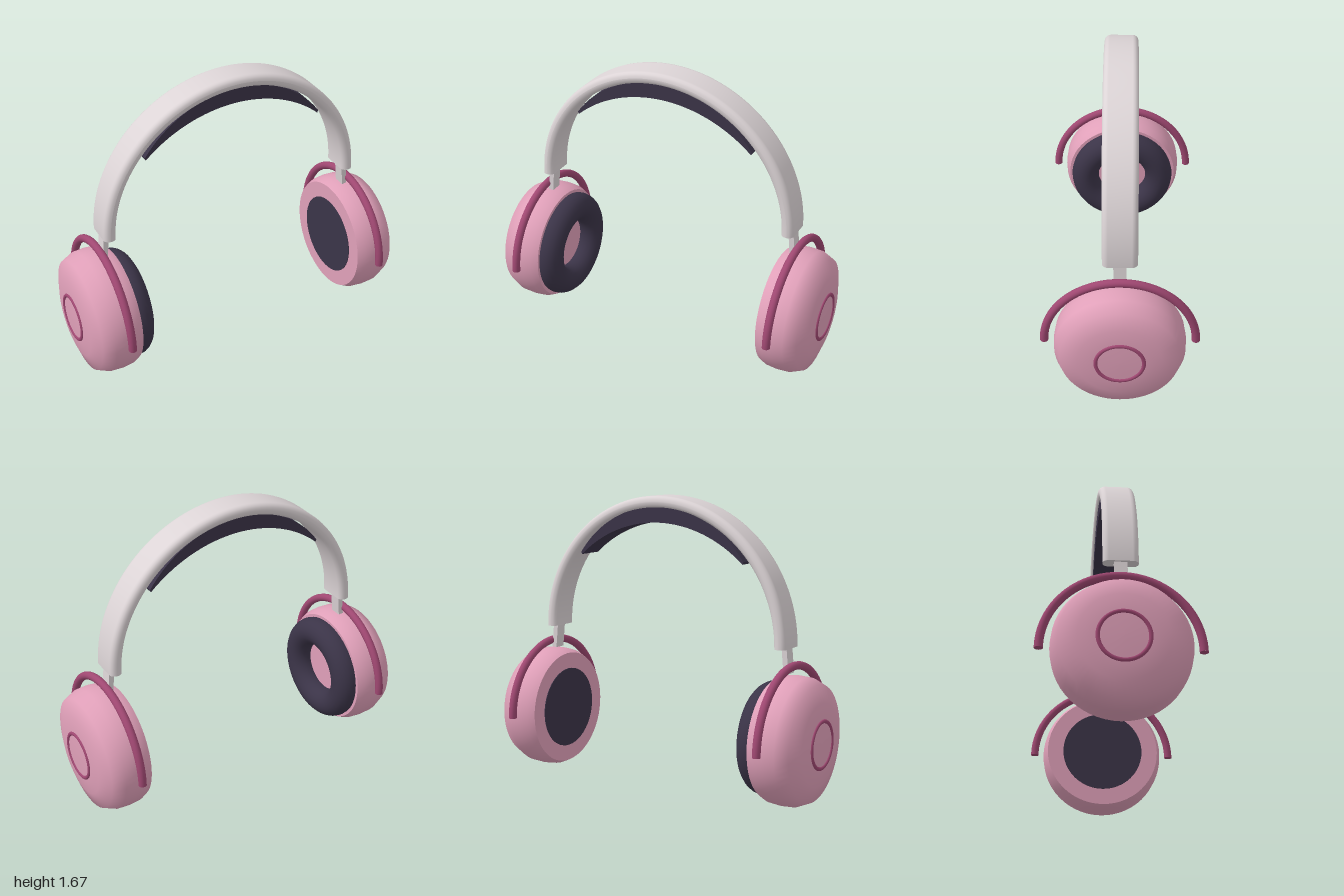
import * as THREE from 'three';

const paint = (name, color) => {
  const m = new THREE.MeshStandardMaterial({ color });
  m.name = name;
  return m;
};

export function createModel() {
  const model = new THREE.Group();
  model.name = 'headphones';
  const pink = paint('pink', 0xe0a0b9);
  const berry = paint('berry', 0xa04872);
  const dark = paint('darkPlum', 0x3b3448);
  const silver = paint('paleSilver', 0xdcd4d6);

  const add = (parent, name, geometry, material, x = 0, y = 0, z = 0) => {
    const mesh = new THREE.Mesh(geometry, material);
    mesh.name = name;
    mesh.position.set(x, y, z);
    parent.add(mesh);
    return mesh;
  };

  // Headband: rounded strip section swept through half a turn
  const bandY = 0.875, bandR = 0.765, halfT = 0.035, halfW = 0.095, corner = 0.032;
  const section = [];
  for (const [sx, sy, start] of [[1, -1, -90], [1, 1, 0], [-1, 1, 90], [-1, -1, 180]]) {
    for (let i = 0; i <= 4; i++) {
      const a = THREE.MathUtils.degToRad(start + i * 22.5);
      section.push(new THREE.Vector2(
        bandR + sx * (halfT - corner) + corner * Math.cos(a),
        sy * (halfW - corner) + corner * Math.sin(a)));
    }
  }
  const band = new THREE.LatheGeometry([...section, section[0].clone()], 64, Math.PI / 2, Math.PI);
  band.rotateX(-Math.PI / 2);
  // keep the arch above the ends
  band.computeBoundingBox();
  if (band.boundingBox.max.y < 0.5) band.rotateZ(Math.PI);
  add(model, 'headband', band, silver, 0, bandY);
  for (const s of [1, -1]) {
    const cap = new THREE.ShapeGeometry(new THREE.Shape(section));
    cap.rotateX(Math.PI / 2);
    if (s < 0) cap.rotateY(Math.PI);
    add(model, 'headbandEnd', cap, silver, 0, bandY);
  }

  // Crescent pad under the top of the headband
  const arc = (cy, r, halfX, n = 32) => {
    const a = Math.asin(halfX / r);
    return Array.from({ length: n + 1 }, (_, i) => {
      const t = -a + (2 * a * i) / n;
      return new THREE.Vector2(r * Math.sin(t), cy + r * Math.cos(t));
    });
  };
  const crescent = new THREE.Shape([...arc(0.955, 0.66, 0.54), ...arc(0.725, 0.8, 0.535).reverse()]);
  const pad = new THREE.ExtrudeGeometry(crescent, { depth: 0.16, bevelEnabled: false });
  add(model, 'headbandPad', pad, dark, 0, 0, -0.08);

  // Ear cup outline: radius, distance from the centre of the head
  const cupProfile = [
    [0.335, 0.71], [0.354, 0.75], [0.36, 0.81], [0.356, 0.88], [0.325, 0.95],
    [0.23, 0.982], [0.13, 0.992], [0, 0.993],
  ].map(([r, d]) => new THREE.Vector2(r, d));
  const cupY = 0.363, yokeR = 0.414, yokeT = 0.023;

  for (const side of [1, -1]) {
    const ear = new THREE.Group();
    ear.name = side > 0 ? 'leftEar' : 'rightEar';
    if (side < 0) ear.rotation.y = Math.PI;
    model.add(ear);

    add(ear, 'earCup', new THREE.LatheGeometry(cupProfile, 56).rotateZ(-Math.PI / 2), pink, 0, cupY);
    add(ear, 'cupInnerFace', new THREE.CircleGeometry(0.335, 56).rotateY(-Math.PI / 2), pink, 0.71, cupY);
    const ring = new THREE.TorusGeometry(0.13, 0.011, 10, 48).scale(1, 1, 0.8).rotateY(Math.PI / 2);
    add(ear, 'cupRing', ring, berry, 0.991, cupY);

    // Half-ring yoke with flat ends
    const yoke = new THREE.TorusGeometry(yokeR, yokeT, 14, 48, Math.PI).rotateY(Math.PI / 2);
    add(ear, 'yoke', yoke, berry, 0.81, cupY);
    for (const z of [yokeR, -yokeR]) {
      add(ear, 'yokeEnd', new THREE.CircleGeometry(yokeT, 14).rotateX(Math.PI / 2), berry, 0.81, cupY, z);
    }

    // Slider joining headband and yoke
    const slider = add(ear, 'slider', new THREE.BoxGeometry(0.03, 0.18, 0.07), silver, 0.776, 0.825);
    slider.rotation.z = 0.1;

    // The right ear has a ring cushion, the left a flat speaker cover
    if (side < 0) {
      const cushion = new THREE.TorusGeometry(0.235, 0.085, 20, 56).rotateY(Math.PI / 2);
      add(ear, 'earCushion', cushion, dark, 0.69, cupY);
    } else {
      const cover = new THREE.CylinderGeometry(0.24, 0.24, 0.006, 48).rotateZ(Math.PI / 2);
      add(ear, 'speakerCover', cover, dark, 0.709, cupY);
    }
  }
  return model;
}
